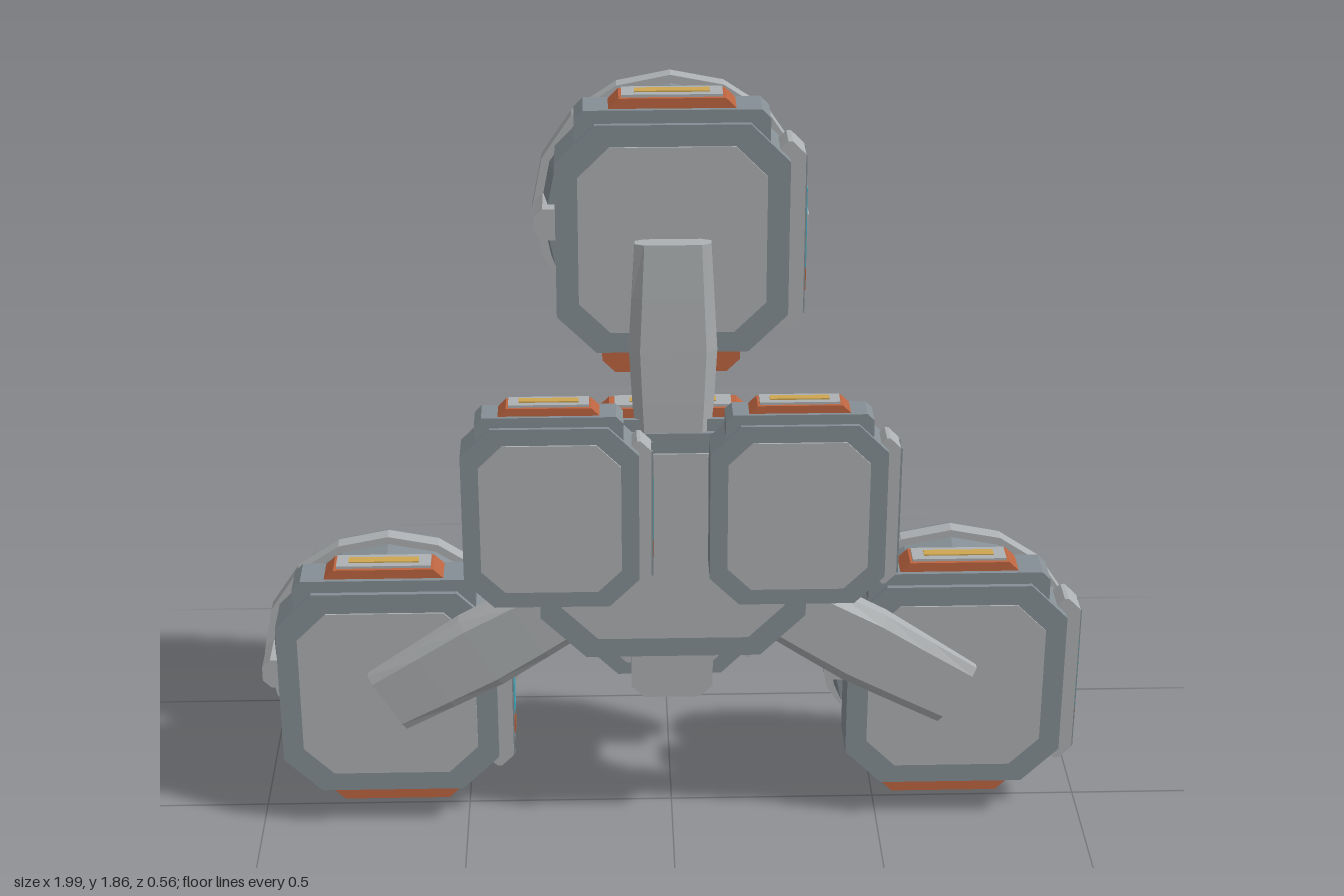
import * as THREE from 'three';

const mat = (name, color) => {
  const m = new THREE.MeshStandardMaterial({ color, flatShading: true });
  m.name = name;
  return m;
};

export function createModel() {
  const frame = mat('slate grey', 0x858f95);
  const panel = mat('light grey', 0xaeb1b3);
  const orange = mat('burnt orange', 0xbd6540);
  const cyan = mat('cyan light', 0x45b5cb);
  const gold = mat('gold label', 0xcda650);

  const model = new THREE.Group();
  model.name = 'modularStation';

  const add = (parent, name, geo, material, x = 0, y = 0, z = 0) => {
    const m = new THREE.Mesh(geo, material);
    m.name = name;
    m.position.set(x, y, z);
    parent.add(m);
    return m;
  };
  const box = (w, h, d) => new THREE.BoxGeometry(w, h, d);

  // Rectangle with cut corners, extruded from z0 to z1
  const octagon = (w, h, c, z0, z1) => {
    const a = w / 2, b = h / 2;
    const pts = [[a - c, -b], [a, c - b], [a, b - c], [a - c, b],
      [c - a, b], [-a, b - c], [-a, c - b], [c - a, -b]];
    const s = new THREE.Shape(pts.map(p => new THREE.Vector2(...p)));
    return new THREE.ExtrudeGeometry(s, { depth: z1 - z0, bevelEnabled: false }).translate(0, 0, z0);
  };

  // Chamfered box module with front panel, top cap, lit side strip and back panels
  const boxModule = (name, x, y, zBack, zFront, w, h, capW, k) => {
    const g = new THREE.Group();
    g.name = name;
    g.position.set(x, y, (zFront + zBack) / 2);
    model.add(g);
    const d = (zFront - zBack) / 2, c = w * 0.17, rim = 0.1 * k, t = h / 2;
    add(g, 'shell', octagon(w, h, c, -d, d), frame);
    add(g, 'frontPanel', octagon(w - rim, h - rim, c * 0.8, d, d + 0.004), panel);

    // Stepped shoulder and cap on top
    add(g, 'shoulder', octagon(w * 0.83, 0.1 * k, 0.02 * k, -d * 0.7, d * 0.8), frame, 0, t - 0.02 * k);
    add(g, 'cap', octagon(capW, 0.09 * k, 0.025 * k, -d * 0.6, d * 0.62), orange, 0, t + 0.008 * k);
    add(g, 'capPlate', box(capW * 0.78, 0.01, d * 0.95), panel, 0, t + 0.054 * k);
    add(g, 'capLabel', box(capW * 0.58, 0.004, d * 0.4), gold, 0, t + 0.054 * k + 0.006);

    // Side unit on the left, with two rails and a light strip
    const s = w / 2;
    const side = octagon(0.07 * k, h * 0.82, 0.03 * k, -d * 0.62, d * 0.62);
    add(g, 'sideUnit', side, panel, s);
    for (const e of [-1, 1])
      add(g, 'sideRail', box(0.02, h * 0.7, d * 0.16), frame, s + 0.028 * k, 0, e * d * 0.5);
    add(g, 'lightStrip', box(0.008, h * 0.35, d * 0.72), cyan, s + 0.037 * k, h * 0.02);
    add(g, 'lightStripBase', box(0.008, h * 0.1, d * 0.72), orange, s + 0.037 * k, -h * 0.205);

    // Three upright panels on the back
    const pw = (w - rim * 1.4) / 3;
    for (const i of [-1, 0, 1])
      add(g, 'backPanel', octagon(pw * 0.93, h - rim * (i ? 1.9 : 1.5), 0.02, -d - 0.012, -d), panel, i * pw);
    return g;
  };

  // Thick ring for the back of the large modules, as a lathe turned to face -z
  const lathe = pts => new THREE.LatheGeometry(pts.map(p => new THREE.Vector2(...p)), 16).rotateX(-Math.PI / 2);
  const dockingRing = (x, y) => {
    const g = new THREE.Group();
    g.name = 'dockingRing';
    g.position.set(x, y, 0);
    model.add(g);
    add(g, 'ringBody', lathe([[0.19, 0.025], [0.285, 0.025], [0.296, 0.1], [0.308, 0.135],
      [0.303, 0.165], [0.205, 0.165], [0.19, 0.025]]), frame);
    add(g, 'ringBand', lathe([[0.29, 0.1], [0.315, 0.1], [0.315, 0.138], [0.3, 0.138]]), panel);
    for (const e of [-1, 1]) {
      add(g, 'ringPin', octagon(0.08, 0.075, 0.02, -0.17, 0.005), panel, e * 0.27);
      add(g, 'footClip', octagon(0.09, 0.05, 0.015, -0.118, -0.09), panel, e * 0.08, -0.325);
    }
    add(g, 'foot', octagon(0.318, 0.19, 0.03, -0.095, -0.02), orange, 0, -0.28);
    add(g, 'boreTab', box(0.12, 0.02, 0.06), orange, 0, -0.185, -0.07);
  };

  // Flattened arm with chamfered edges, running outward from the hub
  const armGeometry = () => {
    const geo = new THREE.CylinderGeometry(1, 1, 1, 8, 6, false, Math.PI / 8);
    const p = geo.attributes.position;
    for (let i = 0; i < p.count; i++) {
      const t = p.getY(i) + 0.5, sx = p.getX(i), sz = p.getZ(i);
      const half = t < 0.65 ? 0.068 + 0.032 * t / 0.65 : 0.1 - 0.015 * (t - 0.65) / 0.35;
      const front = 0.166 - 0.018 * t * t * t, back = 0.085 + 0.025 * t * t;
      const nx = Math.abs(sx) > 0.6 ? 1 : Math.abs(sx) > 0.1 ? 0.75 : 0;
      const nz = Math.abs(sz) > 0.6 ? 1 : Math.abs(sz) > 0.1 ? 0.5 : 0;
      p.setXYZ(i, Math.sign(sx) * nx * half, t * 0.755,
        (front + back) / 2 + Math.sign(sz) * nz * (front - back) / 2);
    }
    return geo;
  };

  // Hub, with three arms to the large modules
  boxModule('hub', 0, 0.8, 0.055, 0.168, 0.62, 0.58, 0.34, 1);
  const reach = Math.hypot(0.68, 0.41);
  const lowAngle = Math.atan2(0.68, -0.41);
  for (const [a, len] of [[0, 0.755], [lowAngle, reach], [-lowAngle, reach]]) {
    const arm = add(model, 'arm', armGeometry(), panel, 0, 0.785, 0);
    arm.rotation.z = a;
    arm.scale.y = len / 0.755;
  }

  // Large modules with rings
  for (const [x, y] of [[0, 1.535], [-0.68, 0.38], [0.68, 0.38]]) {
    boxModule('largeModule', x, y - 0.003, -0.022, 0.1, 0.52, 0.54, 0.285, 1);
    dockingRing(x, y);
  }

  // Two medium modules on the front of the hub
  for (const e of [-1, 1])
    boxModule('frontModule', e * 0.28, 0.93, 0.18, 0.275, 0.4, 0.45, 0.23, 0.8);

  // Small module behind the hub, on a short post
  boxModule('rearModule', 0, 0.448, -0.265, -0.17, 0.39, 0.366, 0.23, 0.7);
  add(model, 'rearPost', octagon(0.195, 0.22, 0.03, -0.17, 0.07), panel, 0, 0.45);

  return model;
}
